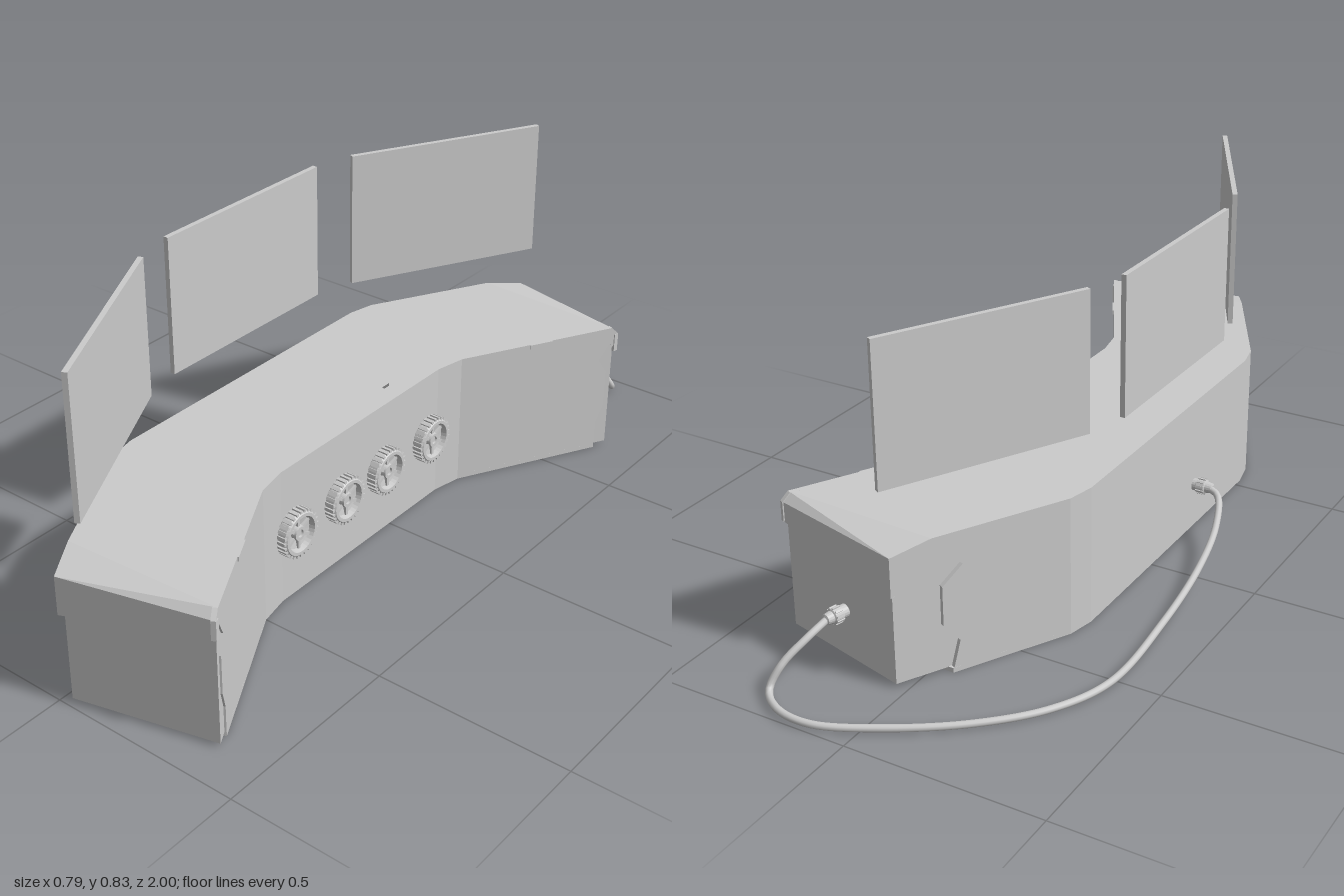
import * as THREE from 'three';
import { ConvexGeometry } from 'three/addons/geometries/ConvexGeometry.js';

const grey = new THREE.MeshStandardMaterial({ color: 0xcccccc, flatShading: true });
const smooth = new THREE.MeshStandardMaterial({ color: 0xcccccc });

function add(parent, name, geometry, material = grey) {
  const mesh = new THREE.Mesh(geometry, material);
  mesh.name = name;
  parent.add(mesh);
  return mesh;
}

const toShape = (pts) => new THREE.Shape(pts.map(([x, y]) => new THREE.Vector2(x, y)));
const flip = (pts) => pts.map(([x, z]) => [x, -z]).reverse();

// Mirrors a flat-shaded geometry across z = 0, keeping its faces outward
function mirrorZ(geometry) {
  const g = geometry.index ? geometry.toNonIndexed() : geometry.clone();
  g.scale(1, 1, -1);
  const p = g.attributes.position;
  const a = new THREE.Vector3(), c = new THREE.Vector3();
  for (let i = 0; i < p.count; i += 3) {
    a.fromBufferAttribute(p, i);
    c.fromBufferAttribute(p, i + 2);
    p.setXYZ(i, c.x, c.y, c.z);
    p.setXYZ(i + 2, a.x, a.y, a.z);
  }
  g.computeVertexNormals();
  return g;
}

function addPair(parent, name, geometry) {
  add(parent, name + 'Left', geometry);
  add(parent, name + 'Right', mirrorZ(geometry));
}

// Horizontal plate from half an outline, doubled across z = 0
function plate(half, bottom, top, holes = []) {
  const shape = toShape([...half, ...flip(half)]);
  shape.holes = holes.map(toShape);
  const g = new THREE.ExtrudeGeometry(shape, { depth: top - bottom, bevelEnabled: false });
  return g.rotateX(Math.PI / 2).translate(0, top, 0);
}

// Upright panel from p to q; its outline is (distance along wall, height)
function panel(p, q, pts, depth = 0.012) {
  const d = new THREE.Vector3(q[0] - p[0], 0, q[1] - p[1]).normalize();
  const up = new THREE.Vector3(0, 1, 0);
  const m = new THREE.Matrix4().makeBasis(d, up, d.clone().cross(up)).setPosition(p[0], 0, p[1]);
  const g = new THREE.ExtrudeGeometry(toShape(pts), { depth, bevelEnabled: false });
  return g.translate(0, 0, -depth).applyMatrix4(m);
}

const dist = (p, q) => Math.hypot(q[0] - p[0], q[1] - p[1]);
const H = 0.36;
const wall = (p, q) => panel(p, q, [[0, 0], [dist(p, q), 0], [dist(p, q), H], [0, H]]);

// Half footprint (x, z): outer wall, then inner wall
const A = [[-0.215, 0.42], [-0.2, 0.49], [0.02, 0.89]];
const B = [[0.152, 0.31], [0.168, 0.39], [0.39, 0.795]];
const creaseA = [-0.03, 0.799], creaseB = [0.38, 0.777];

function buildConsole() {
  const g = new THREE.Group();
  g.name = 'console';

  // Inset core, seen in the recessed ends
  add(g, 'core', plate([[-0.203, 0.418], [-0.188, 0.486], [0.027, 0.876],
    [0.38, 0.786], [0.158, 0.392], [0.14, 0.312]], 0.01, 0.338));
  add(g, 'basePlate', plate([A[0], A[1], [-0.05, 0.763], [0.366, 0.751], B[1], B[0]], 0, 0.012));

  // Top with the two hooked grooves around the work area
  const groove = [[-0.17, 0.215], [0.104, 0.184], [0.104, 0.1], [0.096, 0.1], [0.096, 0.176], [-0.17, 0.207]];
  add(g, 'top', plate([A[0], A[1], creaseA, creaseB, B[1], B[0]], 0.336, H, [groove, flip(groove)]));

  // Middle walls and the narrow facets at the bends
  add(g, 'backWall', wall([A[0][0], -A[0][1]], A[0]));
  add(g, 'innerWall', wall(B[0], [B[0][0], -B[0][1]]));
  addPair(g, 'outerBend', wall(A[0], A[1]));
  addPair(g, 'innerBend', wall(B[1], B[0]));

  // Wing walls, outlines given as (distance from the end, height)
  const la = dist(A[1], A[2]), lb = dist(B[1], B[2]);
  const outer = [[la, 0], [0.145, 0], [0.166, 0.08], [0.125, 0.13], [0.125, 0.23], [0.178, 0.275],
    [0.135, 0.31], [0, 0.24], [0, 0.34], [0.104, H], [la, H]];
  const inner = [[lb, 0], [0.05, 0], [0.05, 0.08], [0.03, 0.13], [0.03, 0.23], [0.055, 0.27],
    [0.025, 0.315], [0, 0.29], [0, 0.34], [0.02, H], [lb, H]];
  addPair(g, 'outerWing', panel(A[1], A[2], outer.map(([e, y]) => [la - e, y])));
  addPair(g, 'innerWing', panel(B[2], B[1], inner));

  // Overhanging lip and sloped top at each end
  const w = dist(A[2], B[2]);
  addPair(g, 'endLip', panel(A[2], B[2], [[0, 0.24], [w, 0.29], [w, 0.34], [0, 0.34]]));
  const corners = [];
  for (const [pts, y] of [[[creaseA, creaseB], H], [[A[2], B[2]], 0.34]])
    for (const [x, z] of pts) corners.push(new THREE.Vector3(x, y, z), new THREE.Vector3(x, 0.33, z));
  addPair(g, 'endSlope', new ConvexGeometry(corners));

  // Small tabs at the top of the inner wings
  addPair(g, 'tab', panel(B[2], B[1], [[0.2, 0.348], [0.265, 0.348], [0.265, H], [0.2, H]])
    .translate(0.003, 0, -0.002));

  g.position.z = 0.11;
  return g;
}

// Ribbed handwheel, axis along +x
function buildKnob() {
  const g = new THREE.Group();
  g.name = 'knob';
  const profile = [[0, 0], [0.056, 0], [0.059, 0.004], [0.059, 0.026], [0.054, 0.032], [0.046, 0.032],
    [0.042, 0.018], [0.02, 0.014], [0.018, 0.027], [0.01, 0.027], [0.009, 0.022], [0, 0.022]];
  const body = new THREE.LatheGeometry(profile.map(([r, y]) => new THREE.Vector2(r, y)), 32);
  add(g, 'wheel', body.rotateZ(-Math.PI / 2));
  const ribs = 28;
  for (let i = 0; i < ribs; i++) {
    const rib = new THREE.BoxGeometry(0.026, 0.014, 0.007).translate(0.017, 0.056, 0);
    add(g, 'rib', rib.rotateX((i / ribs) * Math.PI * 2));
  }
  for (let i = 0; i < 6; i++) {
    const spoke = new THREE.BoxGeometry(0.008, 0.028, 0.008).translate(0.018, 0.031, 0);
    add(g, 'spoke', spoke.rotateX((i / 6) * Math.PI * 2));
  }
  return g;
}

// Cable plug, pointing along +y before it is turned
function buildPlug(position, direction) {
  const g = new THREE.Group();
  g.name = 'plug';
  const profile = [[0, -0.005], [0.016, -0.005], [0.016, 0.01], [0.019, 0.012], [0.019, 0.034],
    [0.015, 0.036], [0.013, 0.052], [0.008, 0.054], [0, 0.054]];
  add(g, 'plugBody', new THREE.LatheGeometry(profile.map(([r, y]) => new THREE.Vector2(r, y)), 16));
  for (let i = 0; i < 10; i++) {
    const ridge = new THREE.BoxGeometry(0.004, 0.02, 0.005).translate(0.0195, 0.023, 0);
    add(g, 'plugRidge', ridge.rotateY((i / 10) * Math.PI * 2));
  }
  g.position.set(...position);
  g.quaternion.setFromUnitVectors(new THREE.Vector3(0, 1, 0), new THREE.Vector3(...direction).normalize());
  return g;
}

export function createModel() {
  const model = new THREE.Group();
  model.name = 'controlDesk';
  model.add(buildConsole());

  for (const z of [0.38, 0.2, 0.035, -0.155]) {
    const knob = buildKnob();
    knob.position.set(0.15, 0.182, z);
    model.add(knob);
  }

  // Three floating screens
  const screens = [['screenCentre', -0.213, 0.11, 0.54, 0],
    ['screenLeft', -0.058, 0.728, 0.538, 0.49], ['screenRight', -0.058, -0.508, 0.538, -0.49]];
  for (const [name, x, z, width, turn] of screens) {
    const screen = add(model, name, new THREE.BoxGeometry(0.013, 0.355, width));
    screen.position.set(x, 0.653, z);
    screen.rotation.y = turn;
  }

  // Cable looping from the back to the right end
  model.add(buildPlug([-0.215, 0.122, 0.236], [-1, 0, 0]));
  model.add(buildPlug([0.185, 0.137, -0.738], [0.09, 0, -0.37]));
  const path = [[-0.255, 0.122, 0.236], [-0.29, 0.115, 0.22], [-0.33, 0.08, 0.13], [-0.358, 0.045, -0.02],
    [-0.376, 0.015, -0.25], [-0.383, 0.01, -0.53], [-0.32, 0.01, -0.68], [-0.2, 0.01, -0.81],
    [-0.04, 0.01, -0.92], [0.1, 0.012, -0.985], [0.19, 0.015, -0.98], [0.25, 0.02, -0.935],
    [0.238, 0.07, -0.9], [0.21, 0.115, -0.84], [0.196, 0.137, -0.785]];
  const curve = new THREE.CatmullRomCurve3(path.map((p) => new THREE.Vector3(...p)));
  add(model, 'cable', new THREE.TubeGeometry(curve, 120, 0.009, 10), smooth);
  return model;
}
